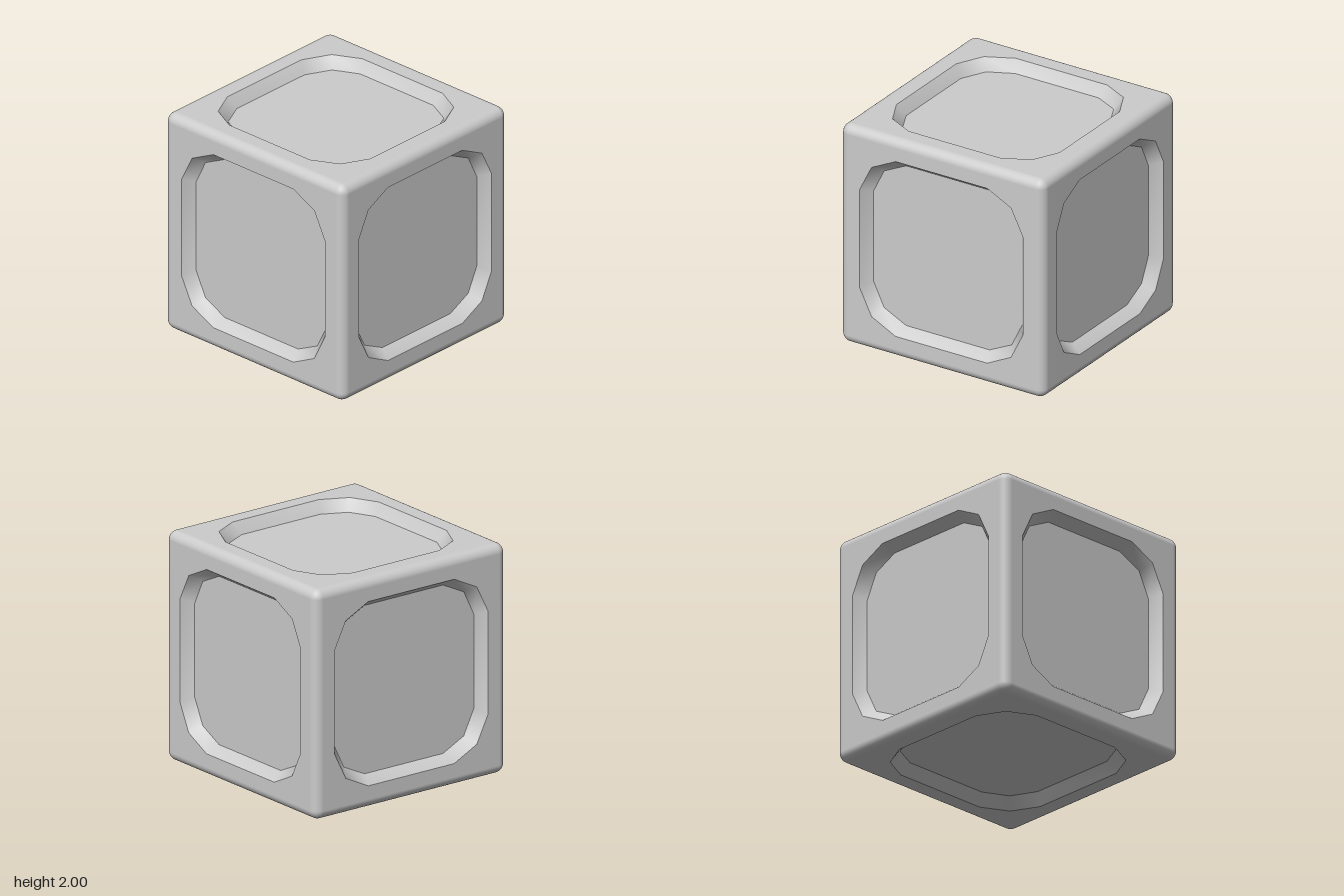
import * as THREE from 'three';

const HALF = 1, RADIUS = 0.08, CORE = HALF - RADIUS, DEPTH = 0.1;
const material = new THREE.MeshStandardMaterial({ color: 0xcccccc });

// Twelve-sided outline: one corner of three points, turned four times (counter-clockwise)
function outline(flat, diagonal, reach) {
  const points = [];
  for (let k = 0; k < 4; k++) {
    for (const [x, y] of [[reach, flat], [diagonal, diagonal], [flat, reach]]) {
      points.push(new THREE.Vector2(x, y).rotateAround(new THREE.Vector2(), k * Math.PI / 2));
    }
  }
  return points;
}

// Sloping wall between the rim outline and the floor outline
function wallGeometry(rim, floor) {
  const n = rim.length, positions = [], index = [];
  rim.forEach(p => positions.push(p.x, p.y, HALF));
  floor.forEach(p => positions.push(p.x, p.y, HALF - DEPTH));
  for (let i = 0; i < n; i++) {
    const j = (i + 1) % n;
    index.push(i, j, n + i, j, n + j, n + i);
  }
  const geometry = new THREE.BufferGeometry();
  geometry.setAttribute('position', new THREE.Float32BufferAttribute(positions, 3));
  geometry.setIndex(index);
  geometry.computeVertexNormals();
  return geometry;
}

export function createModel() {
  const model = new THREE.Group();
  model.name = 'panelledCube';
  const cube = new THREE.Group();
  cube.name = 'cube';
  cube.position.y = HALF;
  model.add(cube);

  const add = (parent, name, geometry) => {
    const mesh = new THREE.Mesh(geometry, material);
    mesh.name = name;
    parent.add(mesh);
    return mesh;
  };

  // Side: flat frame, sloping recess wall and recessed panel
  const rim = outline(0.45, 0.685, 0.802);
  const floor = outline(0.41, 0.627, 0.733);
  const square = new THREE.Shape([[-1, -1], [1, -1], [1, 1], [-1, 1]]
    .map(([x, y]) => new THREE.Vector2(x * CORE, y * CORE)));
  square.holes.push(new THREE.Path([...rim].reverse()));
  const frame = new THREE.ShapeGeometry(square).translate(0, 0, HALF);
  const wall = wallGeometry(rim, floor);
  const panel = new THREE.ShapeGeometry(new THREE.Shape(floor)).translate(0, 0, HALF - DEPTH);

  const q = Math.PI / 2;
  const sides = {
    front: [0, 0], left: [0, q], back: [0, 2 * q], right: [0, -q], top: [-q, 0], bottom: [q, 0],
  };
  for (const [name, [rx, ry]] of Object.entries(sides)) {
    const side = new THREE.Group();
    side.name = name + 'Side';
    side.rotation.set(rx, ry, 0);
    add(side, 'frame', frame);
    add(side, 'recessWall', wall);
    add(side, 'recessedPanel', panel);
    cube.add(side);
  }

  // Rounded edges: four along each axis
  const edge = new THREE.CylinderGeometry(RADIUS, RADIUS, 2 * CORE, 8, 1, true, 0, q)
    .translate(CORE, 0, CORE);
  for (const [rx, rz] of [[0, 0], [q, 0], [0, q]]) {
    const edges = new THREE.Group();
    edges.name = 'roundedEdges';
    edges.rotation.set(rx, 0, rz);
    for (let k = 0; k < 4; k++) add(edges, 'roundedEdge', edge).rotation.y = k * q;
    cube.add(edges);
  }

  // Rounded corners: four above, four below
  const corner = new THREE.SphereGeometry(RADIUS, 8, 8, q, q, 0, q).translate(CORE, CORE, CORE);
  for (const flip of [0, Math.PI]) {
    const corners = new THREE.Group();
    corners.name = flip ? 'lowerCorners' : 'upperCorners';
    corners.rotation.x = flip;
    for (let k = 0; k < 4; k++) add(corners, 'roundedCorner', corner).rotation.y = k * q;
    cube.add(corners);
  }
  return model;
}
